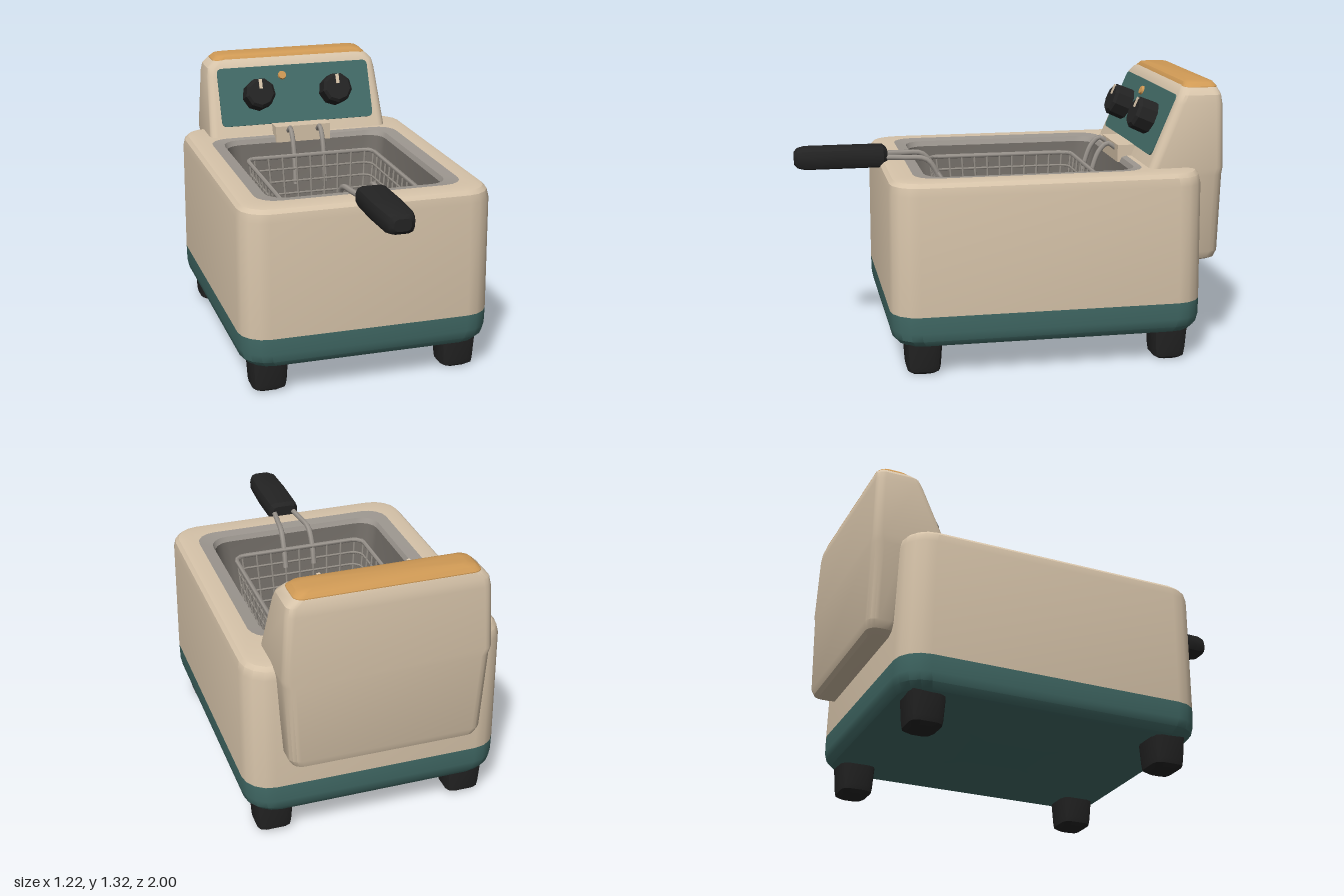
import * as THREE from 'three';
import { mergeGeometries, toCreasedNormals } from 'three/addons/utils/BufferGeometryUtils.js';

const mat = (name, color, side = THREE.FrontSide) => {
  const m = new THREE.MeshStandardMaterial({ color, side });
  m.name = name;
  return m;
};

// Rounded rectangle outline in the xz plane
function outline(hw, z0, z1, r, seg = 4) {
  const pts = [];
  const corners = [[hw - r, z1 - r], [-hw + r, z1 - r], [-hw + r, z0 + r], [hw - r, z0 + r]];
  corners.forEach(([cx, cz], k) => {
    for (let i = 0; i <= seg; i++) {
      const a = (k + i / seg) * Math.PI / 2;
      pts.push([cx + r * Math.cos(a), cz + r * Math.sin(a)]);
    }
  });
  return pts;
}

// Skin through rings given as [y, halfWidth, zBack, zFront, cornerRadius]
function loft(rings, { capStart = false, capEnd = false, crease = 0.55, seg = 4 } = {}) {
  const pos = [], idx = [], n = 4 * (seg + 1);
  rings.forEach(([y, hw, z0, z1, r]) => outline(hw, z0, z1, r, seg).forEach(([x, z]) => pos.push(x, y, z)));
  for (let i = 0; i < rings.length - 1; i++) {
    for (let j = 0; j < n; j++) {
      const a = i * n + j, b = i * n + (j + 1) % n;
      idx.push(a, a + n, b, b, a + n, b + n);
    }
  }
  const cap = (ring, flip) => {
    const [y, , z0, z1] = rings[ring], c = pos.length / 3;
    pos.push(0, y, (z0 + z1) / 2);
    for (let j = 0; j < n; j++) {
      const a = ring * n + j, b = ring * n + (j + 1) % n;
      idx.push(c, flip ? b : a, flip ? a : b);
    }
  };
  if (capStart) cap(0, false);
  if (capEnd) cap(rings.length - 1, true);
  const g = new THREE.BufferGeometry();
  g.setAttribute('position', new THREE.Float32BufferAttribute(pos, 3));
  g.setIndex(idx);
  return toCreasedNormals(g, crease);
}

// Straight wire between two points
function wire(a, b, r = 0.006) {
  const p = new THREE.Vector3(...a), d = new THREE.Vector3(...b).sub(p);
  const g = new THREE.CylinderGeometry(r, r, d.length(), 5);
  g.applyQuaternion(new THREE.Quaternion().setFromUnitVectors(new THREE.Vector3(0, 1, 0), d.clone().normalize()));
  return g.translate(p.x + d.x / 2, p.y + d.y / 2, p.z + d.z / 2);
}

// Smooth bent wire
const bent = (pts, r) => new THREE.TubeGeometry(
  new THREE.CatmullRomCurve3(pts.map(p => new THREE.Vector3(...p))), 16, r, 6);

// Closed rounded wire loop at a given height
function wireLoop(y, hw, z0, z1, r) {
  const pts = outline(hw, z0, z1, 0.05, 3).map(([x, z]) => [x, y, z]);
  return mergeGeometries(pts.map((p, i) => wire(p, pts[(i + 1) % pts.length], r)));
}

export function createModel() {
  const cream = mat('cream enamel', 0xd6c3a9);
  const teal = mat('teal enamel', 0x426b67);
  const black = mat('black plastic', 0x232323);
  const orange = mat('amber', 0xd09a55);
  const rimGrey = mat('rim steel', 0x9c968f);
  const wellGrey = mat('well steel', 0x726d67);
  const wireGrey = mat('wire steel', 0x98928a);

  const model = new THREE.Group();
  model.name = 'deepFryer';
  const add = (name, geometry, material, parent = model) => {
    const m = new THREE.Mesh(geometry, material);
    m.name = name;
    parent.add(m);
    return m;
  };

  // Housing: teal base, cream shell, steel rim and open well
  add('baseBand', loft([
    [0.14, 0.54, -0.81, 0.53, 0.1],
    [0.15, 0.575, -0.85, 0.565, 0.12],
    [0.18, 0.602, -0.872, 0.59, 0.13],
    [0.22, 0.61, -0.88, 0.598, 0.13],
    [0.3, 0.612, -0.88, 0.6, 0.13],
  ], { capStart: true }), teal);
  add('bodyShell', loft([
    [0.3, 0.612, -0.88, 0.6, 0.13],
    [0.86, 0.61, -0.872, 0.598, 0.13],
    [0.9, 0.602, -0.865, 0.592, 0.13],
    [0.918, 0.585, -0.85, 0.575, 0.12],
    [0.924, 0.56, -0.82, 0.55, 0.11],
    [0.922, 0.5, -0.61, 0.475, 0.1],
  ]), cream);
  add('wellRim', loft([
    [0.922, 0.5, -0.61, 0.475, 0.1],
    [0.915, 0.44, -0.585, 0.42, 0.09],
    [0.89, 0.43, -0.575, 0.41, 0.09],
  ]), rimGrey);
  add('well', loft([
    [0.89, 0.43, -0.575, 0.41, 0.09],
    [0.42, 0.38, -0.5, 0.36, 0.09],
    [0.38, 0.35, -0.47, 0.33, 0.08],
  ], { capEnd: true }), wellGrey);

  // Control tower behind the well
  add('controlTower', loft([
    [0.45, 0.4, -0.965, -0.86, 0.04],
    [0.465, 0.435, -0.985, -0.85, 0.05],
    [0.5, 0.452, -0.995, -0.84, 0.05],
    [0.88, 0.475, -0.997, -0.8, 0.05],
    [0.915, 0.482, -0.997, -0.63, 0.04],
    [1.22, 0.463, -0.99, -0.757, 0.04],
    [1.26, 0.455, -0.985, -0.775, 0.04],
    [1.29, 0.425, -0.975, -0.795, 0.04],
    [1.3, 0.4, -0.96, -0.81, 0.04],
  ], { capStart: true, capEnd: true }), cream);
  add('towerCap', loft([
    [1.27, 0.425, -0.975, -0.8, 0.04],
    [1.295, 0.42, -0.974, -0.805, 0.04],
    [1.314, 0.4, -0.96, -0.82, 0.04],
    [1.321, 0.36, -0.935, -0.84, 0.03],
  ], { capStart: true, capEnd: true }), orange);

  // Sloped control panel with knobs and lamp
  const panel = new THREE.Group();
  panel.name = 'controlPanel';
  panel.position.set(0, 1.115, -0.712);
  panel.rotation.x = -0.4;
  model.add(panel);
  const plate = loft([
    [-0.004, 0.415, -0.155, 0.155, 0.025],
    [0.005, 0.415, -0.155, 0.155, 0.025],
  ], { capStart: true, capEnd: true }).rotateX(Math.PI / 2);
  add('panelPlate', plate, teal, panel);
  for (const x of [-0.21, 0.21]) {
    const knob = new THREE.Group();
    knob.name = 'knob';
    knob.position.set(x, 0, 0);
    panel.add(knob);
    const grip = toCreasedNormals(mergeGeometries([
      new THREE.CylinderGeometry(0.08, 0.083, 0.085, 9).translate(0, 0.045, 0),
      new THREE.CylinderGeometry(0.066, 0.08, 0.014, 9).translate(0, 0.0945, 0),
    ]), 0.4).rotateX(Math.PI / 2);
    add('knobGrip', grip, black, knob);
    add('knobPointer', new THREE.BoxGeometry(0.017, 0.05, 0.008).translate(0, 0.045, 0.103), cream, knob);
  }
  const lamp = new THREE.CylinderGeometry(0.02, 0.024, 0.014, 12).rotateX(Math.PI / 2);
  add('indicatorLamp', lamp, orange, panel).position.set(-0.065, 0.1, 0.01);

  // Bracket that carries the basket hooks
  add('hookBracket', new THREE.BoxGeometry(0.295, 0.085, 0.09).translate(0, 0.933, -0.61), cream);

  // Feet
  for (const x of [-0.47, 0.47]) {
    for (const z of [0.45, -0.735]) {
      const foot = loft([
        [0, 0.06, -0.055, 0.055, 0.03],
        [0.015, 0.08, -0.075, 0.075, 0.035],
        [0.04, 0.085, -0.08, 0.08, 0.04],
        [0.17, 0.092, -0.088, 0.088, 0.04],
      ], { capStart: true, capEnd: true, seg: 2 });
      add('foot', foot, black).position.set(x, 0, z);
    }
  }

  // Wire basket: each mesh wire runs down a wall, across the floor and up again
  const basket = new THREE.Group();
  basket.name = 'basket';
  model.add(basket);
  const top = 0.85, low = 0.46, zc = -0.065;
  const mesh = [];
  const nx = 9, nz = 11;
  for (let i = 0; i < nx; i++) {
    const u = (i / (nx - 1)) * 2 - 1, xt = u * 0.3, xb = u * 0.27;
    mesh.push(wire([xt, top, zc - 0.37], [xb, low, zc - 0.33]));
    mesh.push(wire([xb, low, zc - 0.33], [xb, low, zc + 0.33]));
    mesh.push(wire([xb, low, zc + 0.33], [xt, top, zc + 0.37]));
  }
  for (let i = 0; i < nz; i++) {
    const u = (i / (nz - 1)) * 2 - 1, zt = zc + u * 0.33, zb = zc + u * 0.3;
    mesh.push(wire([-0.335, top, zt], [-0.3, low, zb]));
    mesh.push(wire([-0.3, low, zb], [0.3, low, zb]));
    mesh.push(wire([0.3, low, zb], [0.335, top, zt]));
  }
  for (let i = 0; i < 6; i++) {
    const t = i / 6, hw = 0.3 + 0.035 * t, hz = 0.33 + 0.04 * t;
    mesh.push(wireLoop(low + (top - low) * t, hw, zc - hz, zc + hz, 0.006));
  }
  add('basketMesh', mergeGeometries(mesh), wireGrey, basket);
  add('basketRim', wireLoop(top, 0.338, zc - 0.375, zc + 0.375, 0.012), rimGrey, basket);

  // Hooks at the back, handle rods at the front
  for (const s of [-1, 1]) {
    const x = s * 0.08;
    add('basketHook', bent([[x, 0.7, -0.43], [x, 0.85, -0.455], [x, 0.94, -0.49],
      [x, 0.975, -0.53], [x, 0.95, -0.57]], 0.013), rimGrey, basket);
    add('handleRod', bent([[s * 0.075, 0.76, 0.29], [s * 0.075, 0.86, 0.32], [s * 0.072, 0.925, 0.37],
      [s * 0.06, 0.935, 0.48], [s * 0.045, 0.938, 0.6]], 0.014), rimGrey, basket);
  }
  const handle = loft([
    [0.555, 0.058, -0.035, 0.035, 0.02],
    [0.575, 0.075, -0.05, 0.05, 0.03],
    [0.78, 0.077, -0.05, 0.05, 0.03],
    [0.95, 0.072, -0.052, 0.052, 0.035],
    [0.985, 0.06, -0.044, 0.044, 0.03],
    [1.0, 0.04, -0.028, 0.028, 0.02],
  ], { capStart: true, capEnd: true, seg: 2 }).rotateX(Math.PI / 2);
  add('handleGrip', handle, black, basket).position.y = 0.938;

  return model;
}
